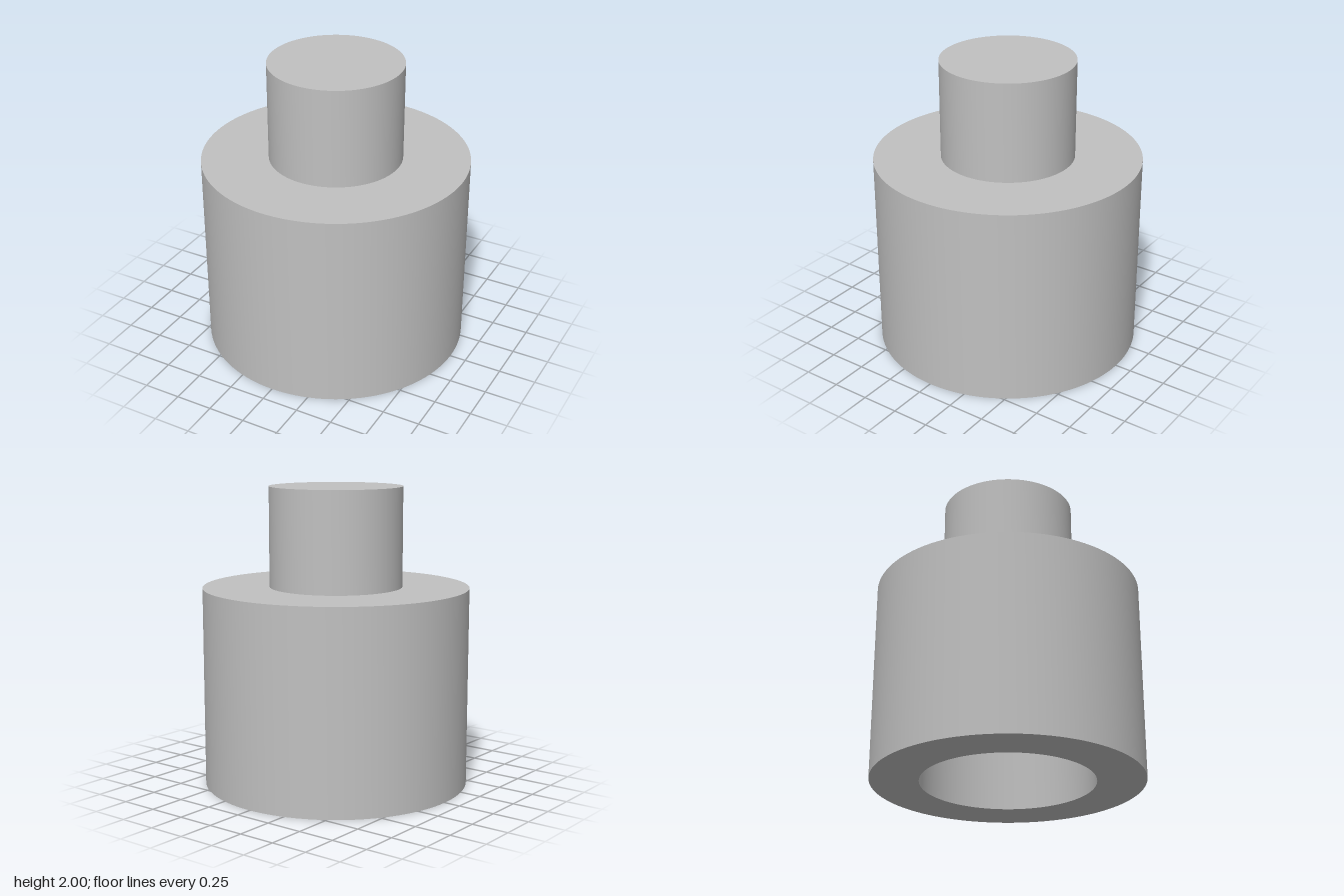
import * as THREE from 'three';
import { toCreasedNormals } from 'three/addons/utils/BufferGeometryUtils.js';

const SEGMENTS = 128;

// Turned part from a [radius, height] profile, with crisp rims and smooth walls
function turned(name, profile, material) {
  const points = profile.map(([r, y]) => new THREE.Vector2(r, y));
  const geometry = toCreasedNormals(new THREE.LatheGeometry(points, SEGMENTS), 0.6);
  const mesh = new THREE.Mesh(geometry, material);
  mesh.name = name;
  return mesh;
}

export function createModel() {
  const grey = new THREE.MeshStandardMaterial({ color: 0xc0c0c0 });
  grey.name = 'light grey';

  const bodyRadius = 0.889, bodyHeight = 1.333;
  const studRadius = 0.444, top = 2;
  const boreRadius = 0.57, boreDepth = 0.78;

  const group = new THREE.Group();
  group.name = 'socketConnector';

  // Body with a blind socket opening downwards
  group.add(turned('body', [
    [0, boreDepth], [boreRadius, boreDepth], [boreRadius, 0],
    [bodyRadius, 0], [bodyRadius, bodyHeight], [studRadius, bodyHeight],
  ], grey));

  // Solid stud rising from the shoulder
  group.add(turned('stud', [
    [studRadius, bodyHeight], [studRadius, top], [0, top],
  ], grey));

  return group;
}
